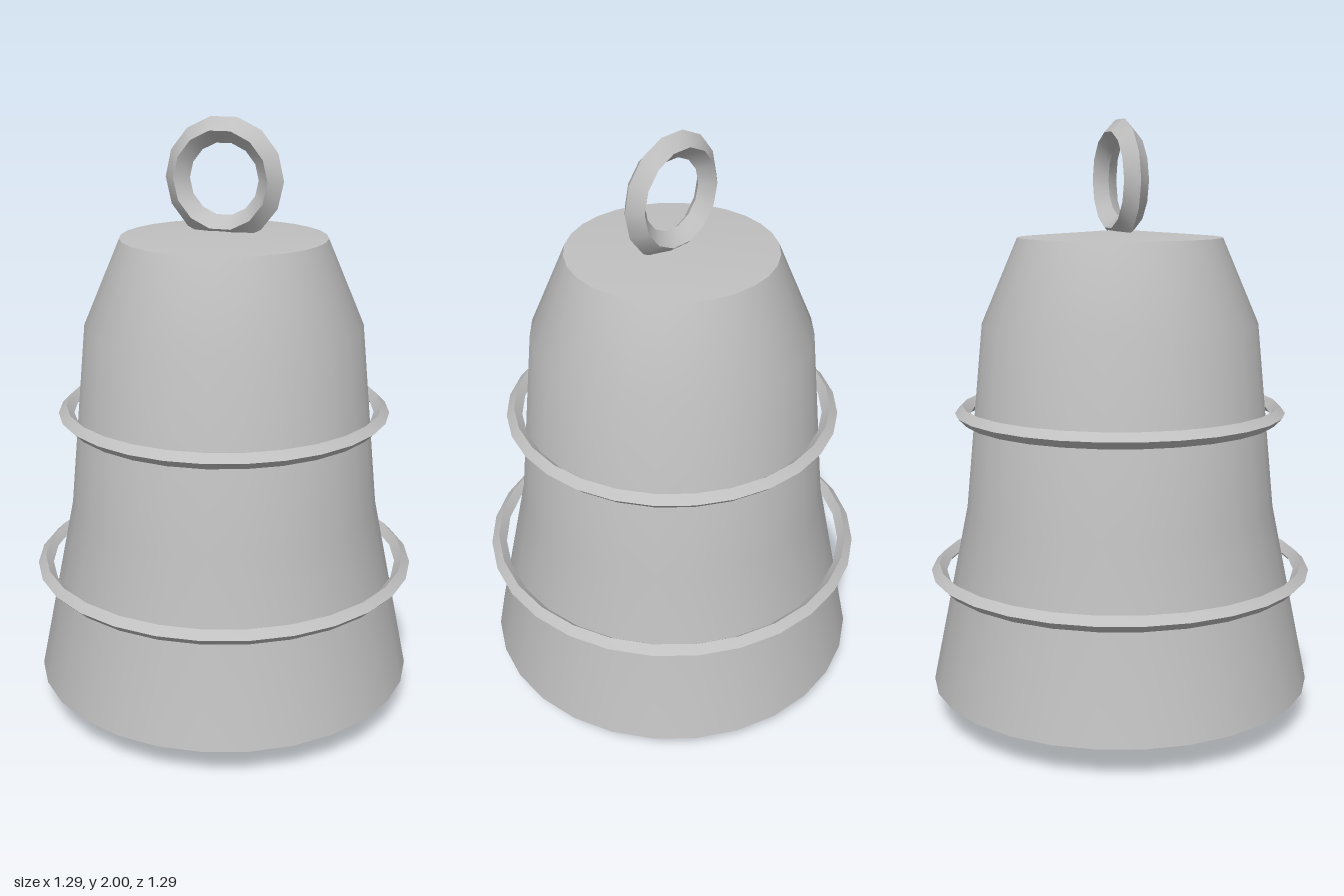
import * as THREE from 'three';
import { toCreasedNormals } from 'three/addons/utils/BufferGeometryUtils.js';

const SIDES = 28;

export function createModel() {
  const group = new THREE.Group();
  const metal = new THREE.MeshStandardMaterial({ color: 0xc0c0c0 });
  metal.name = 'grey metal';

  const add = (name, geometry) => {
    const mesh = new THREE.Mesh(toCreasedNormals(geometry, 0.6), metal);
    mesh.name = name;
    group.add(mesh);
    return mesh;
  };
  const lathe = (points) =>
    new THREE.LatheGeometry(points.map(([x, y]) => new THREE.Vector2(x, y)), SIDES);

  // Hollow bell: down the inner wall, round the rim, up the outer wall
  add('bellBody', lathe([
    [0, 1.57], [0.29, 1.55], [0.4, 1.31], [0.46, 0.72], [0.575, 0.08],
    [0.645, 0.11], [0.52, 0.72], [0.46, 1.34], [0.34, 1.62], [0, 1.645],
  ]));

  // Two loose bands with a diamond section
  const r = 0.026;
  for (const [name, radius, y] of [['upperBand', 0.529, 1.04], ['lowerBand', 0.62, 0.5]]) {
    add(name, lathe([
      [radius + r, y], [radius, y + r], [radius - r, y], [radius, y - r], [radius + r, y],
    ]));
  }

  // Hanging loop, diamond section
  add('hangingLoop', new THREE.TorusGeometry(0.158, 0.042, 4, 14)).position.y = 1.805;

  // Clapper: square rod with chamfered edges, hung from the crown
  const h = 0.038, c = 0.026;
  const section = new THREE.Shape([
    [h, -c], [h, c], [c, h], [-c, h], [-h, c], [-h, -c], [-c, -h], [c, -h],
  ].map(([x, y]) => new THREE.Vector2(x, y)));
  const rod = new THREE.ExtrudeGeometry(section, {
    depth: 1.56, bevelEnabled: true, bevelSegments: 1, bevelSize: 0.012, bevelThickness: 0.015,
  });
  rod.rotateX(-Math.PI / 2);
  add('clapper', rod).position.y = 0.015;

  return group;
}
